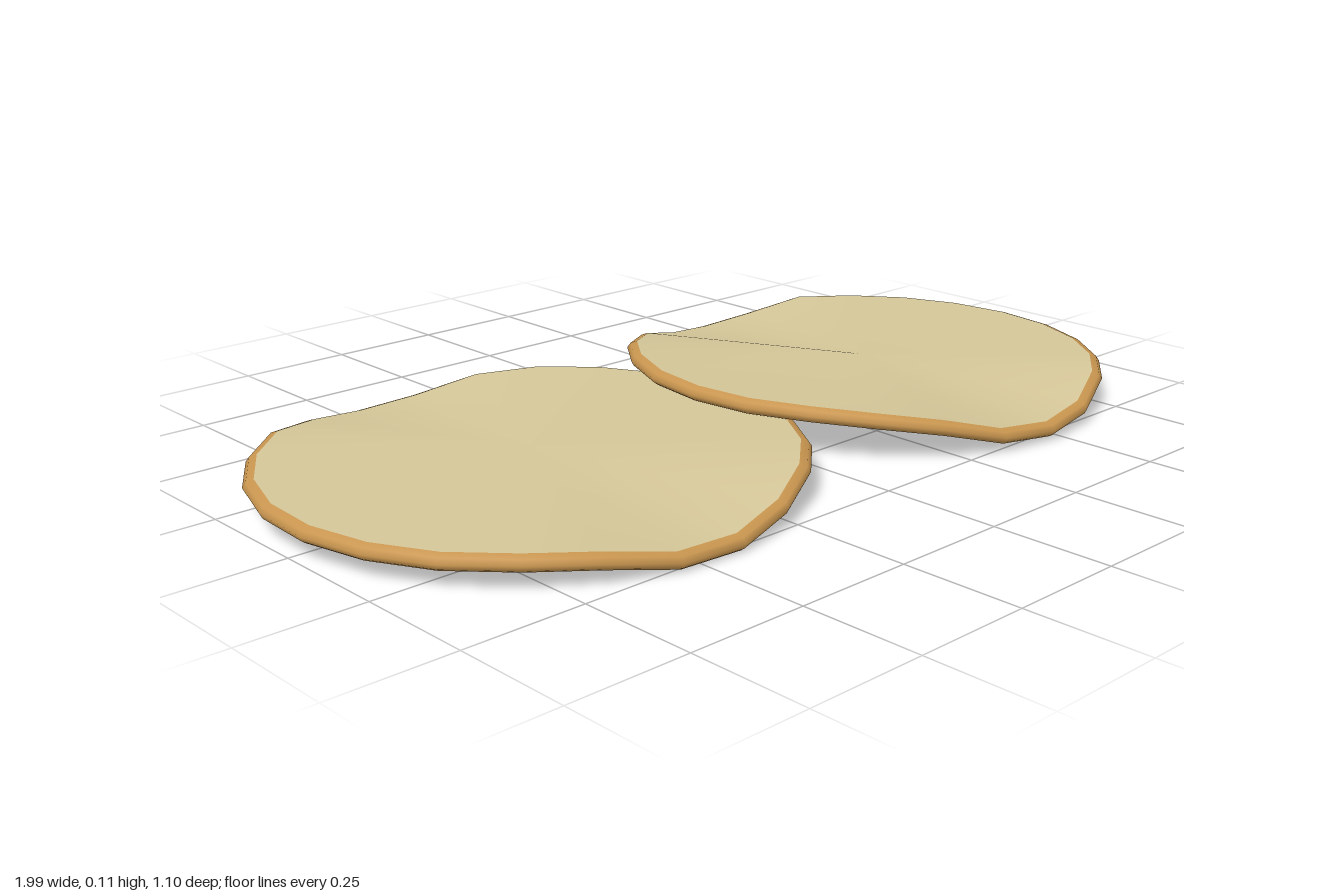
import * as THREE from 'three';

const SIDES = 24;
const crisp = new THREE.MeshStandardMaterial({ color: 0xd4c698 });
crisp.name = 'pale tan';
const crust = new THREE.MeshStandardMaterial({ color: 0xc8954f });
crust.name = 'toasted brown';

// Rim cross-section from the top inner edge to the bottom edge: [inset, height]
const RIM = [[0.022, 0.015], [0.007, 0.01], [0, 0], [0.005, -0.01], [0.012, -0.015]];

function makeMesh(name, points, indices, material) {
  const geo = new THREE.BufferGeometry();
  geo.setAttribute('position', new THREE.Float32BufferAttribute(points.flat(), 3));
  geo.setIndex(indices);
  geo.computeVertexNormals();
  const mesh = new THREE.Mesh(geo, material);
  mesh.name = name;
  return mesh;
}

// A thin round slice whose front and back edges droop
function makeSlice(name, { x, z, radius, turn, middle, rimHeight }) {
  const ring = ([inset, dy]) => Array.from({ length: SIDES }, (_, i) => {
    const a = turn + (i / SIDES) * Math.PI * 2;
    const u = Math.cos(a), s = Math.sin(a);
    const r = radius - inset;
    return [u * r, rimHeight(u, s) + dy, s * r];
  });

  // Fan from the centre to the rim
  const face = (label, profile, up) => {
    const points = [[0, middle + profile[1], 0], ...ring(profile)];
    const indices = [];
    for (let i = 0; i < SIDES; i++) {
      const a = 1 + i, b = 1 + (i + 1) % SIDES;
      indices.push(0, ...(up ? [b, a] : [a, b]));
    }
    return makeMesh(label, points, indices, crisp);
  };

  // Rounded rim band
  const points = RIM.flatMap(ring);
  const indices = [];
  for (let j = 0; j < RIM.length - 1; j++) {
    for (let i = 0; i < SIDES; i++) {
      const k = (i + 1) % SIDES;
      const a = j * SIDES + i, b = j * SIDES + k;
      const c = a + SIDES, d = b + SIDES;
      indices.push(a, b, c, b, d, c);
    }
  }

  const slice = new THREE.Group();
  slice.name = name;
  slice.add(
    face('topFace', RIM[0], true),
    face('bottomFace', RIM[RIM.length - 1], false),
    makeMesh('rim', points, indices, crust),
  );
  slice.position.set(x, 0, z);
  return slice;
}

const ramp = (v, from, to) => THREE.MathUtils.clamp((v - from) / (to - from), 0, 1);
const droop = (s) => 0.04 * ramp(Math.abs(s), 0.88, 1);

export function createModel() {
  const model = new THREE.Group();
  model.name = 'crisps';

  // Lower slice, tilted slightly
  model.add(makeSlice('lowerSlice', {
    x: -0.455, z: -0.012, radius: 0.542, turn: -0.085, middle: 0.057,
    rimHeight: (u, s) => 0.057 + 0.006 * u - droop(s),
  }));

  // Upper slice, with its right edge lifted over the lower one
  model.add(makeSlice('upperSlice', {
    x: 0.466, z: 0.016, radius: 0.528, turn: 0, middle: 0.061,
    rimHeight: (u, s) => 0.065 + 0.031 * ramp(-u, 0.45, 0.8) - droop(s),
  }));

  return model;
}
